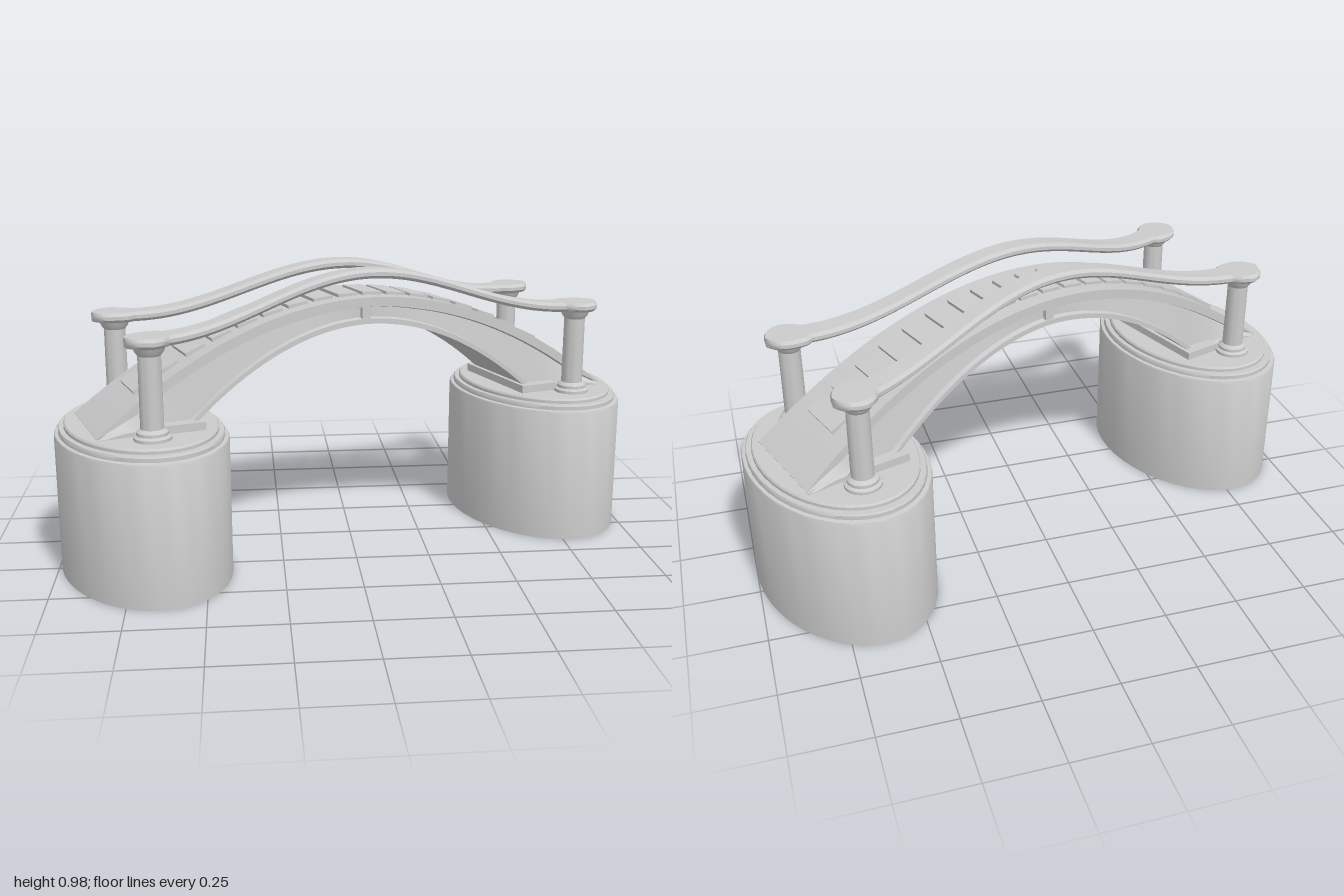
import * as THREE from 'three';
import { toCreasedNormals } from 'three/addons/utils/BufferGeometryUtils.js';

const mat = new THREE.MeshStandardMaterial({ color: 0xcccccc, side: THREE.DoubleSide });

function add(parent, geometry, name, crease = 0.6) {
  const mesh = new THREE.Mesh(toCreasedNormals(geometry, crease), mat);
  mesh.name = name;
  parent.add(mesh);
  return mesh;
}

// Skin closed [y, z] sections placed along x, with capped ends
function loft(xs, section) {
  const rings = xs.map(section), n = rings[0].length, pos = [], idx = [];
  rings.forEach((ring, i) => ring.forEach(([y, z]) => pos.push(xs[i], y, z)));
  for (let i = 0; i < xs.length - 1; i++) {
    for (let j = 0; j < n; j++) {
      const k = (j + 1) % n, a = i * n + j, d = i * n + k;
      idx.push(a, a + n, d, a + n, d + n, d);
    }
  }
  const e = (xs.length - 1) * n;
  for (let j = 1; j < n - 1; j++) idx.push(0, j, j + 1, e, e + j + 1, e + j);
  const g = new THREE.BufferGeometry();
  g.setAttribute('position', new THREE.Float32BufferAttribute(pos, 3));
  g.setIndex(idx);
  g.computeVertexNormals();
  return g;
}

const lathe = (pts, seg) => new THREE.LatheGeometry(pts.map(p => new THREE.Vector2(...p)), seg);
const mirrored = half => [...half.slice(1).reverse().map(x => -x), ...half];

// Arch curves
const END = 0.93, SPRING = 0.62;
const topY = x => 0.88 - 0.375 * (x / END) ** 2;
const underY = x => Math.max(0.5, 0.79 - 0.72 * x * x);
const deckHalf = x => 0.14 + 0.035 * (x / END) ** 2;

// Arch with recessed side panels between an upper and a lower band
function archSection(x) {
  const t = topY(x), b = underY(x), h = t - b, w = deckHalf(x);
  const upper = Math.min(0.035, h * 0.35), lower = Math.min(0.018, h * 0.25);
  const flare = 0.018 * Math.min(1, Math.abs(x) / SPRING);
  const inset = Math.min(0.018, h * 0.3);
  const side = [[t, w], [t - upper, w], [t - upper - 0.004, w - inset],
    [b + lower + 0.004, w + flare - inset], [b + lower, w + flare], [b, w + flare]];
  return [...side.map(([y, z]) => [y, -z]), ...side.reverse()];
}

// Handrail: a flat ribbon with round pads over the posts
const POST_X = 0.768, POST_Z = 0.233, PAD = 0.075;
function railSection(x, side) {
  const u = Math.min(1, Math.abs(x) / POST_X);
  const z = side * (0.13 + (POST_Z - 0.13) * u * u);
  const y = 0.815 + 0.147 * (0.5 + 0.5 * Math.cos(Math.PI * Math.min(1, Math.abs(x) / 0.71)));
  const pad = Math.sqrt(Math.max(0, PAD * PAD - (Math.abs(x) - POST_X) ** 2));
  const neck = Math.abs(x) > POST_X ? 0 : 0.04 + 0.012 * u ** 4;
  const w = Math.max(pad, neck, 0.004), r = Math.min(0.011, w * 0.4), h = 0.016;
  return [[h, w - r], [h, r - w], [0.006, -w], [-0.006, -w],
    [-h, r - w], [-h, w - r], [-0.006, w], [0.006, w]].map(([dy, dz]) => [y + dy, z + dz]);
}

export function createModel() {
  const bridge = new THREE.Group();
  bridge.name = 'archedFootbridge';
  bridge.rotation.y = 0.319;

  // Oval piers with stepped tops, and the sill under each arch foot
  for (const s of [-1, 1]) {
    const g = lathe([[1, 0], [1, 0.46], [0.99, 0.468], [0.95, 0.47], [0.95, 0.483], [0.94, 0.488],
      [0.885, 0.488], [0.885, 0.498], [0.87, 0.504], [0, 0.504]], 40);
    g.scale(0.276, 1, 0.395);
    add(bridge, g, 'pier').position.x = s * 0.748;
    const sill = add(bridge, new THREE.BoxGeometry(0.14, 0.032, 0.4), 'archSill');
    sill.position.set(s * 0.655, 0.515, 0);
  }

  // Arch and its central keystone
  const archXs = [];
  for (let i = 0; i <= 20; i++) archXs.push(SPRING * i / 20);
  for (let i = 1; i <= 10; i++) archXs.push(SPRING + (END - SPRING) * i / 10);
  add(bridge, loft(mirrored(archXs), archSection), 'arch', 0.4);
  const key = add(bridge, new THREE.BoxGeometry(0.03, 0.085, 0.276), 'keystone');
  key.position.y = 0.833;

  // Treads following the deck
  const COUNT = 18;
  for (let i = 0; i < COUNT; i++) {
    const x = -0.755 + 1.51 * i / (COUNT - 1);
    const tread = add(bridge, new THREE.BoxGeometry(0.07, 0.024, 0.17), 'tread');
    tread.position.set(x, topY(x) - 0.002, 0);
    tread.rotation.z = 0.85 * Math.atan(-0.75 * x / END ** 2);
  }

  // Posts and handrails
  const railXs = [];
  for (let i = 0; i <= 36; i++) railXs.push((POST_X - PAD) * i / 36);
  for (let i = 1; i <= 18; i++) railXs.push(POST_X - PAD * Math.cos(Math.PI * i / 18));
  for (const s of [-1, 1]) {
    add(bridge, loft(mirrored(railXs), x => railSection(x, s)), 'handrail', 0.7);
    for (const e of [-1, 1]) {
      const post = lathe([[0.06, 0.5], [0.06, 0.514], [0.05, 0.52], [0.05, 0.53], [0.037, 0.54],
        [0.036, 0.77], [0.045, 0.782], [0.048, 0.79], [0.055, 0.802]], 20);
      add(bridge, post, 'post').position.set(e * POST_X, 0, s * POST_Z);
    }
  }

  const model = new THREE.Group();
  model.name = 'bridgeModel';
  model.add(bridge);
  return model;
}
